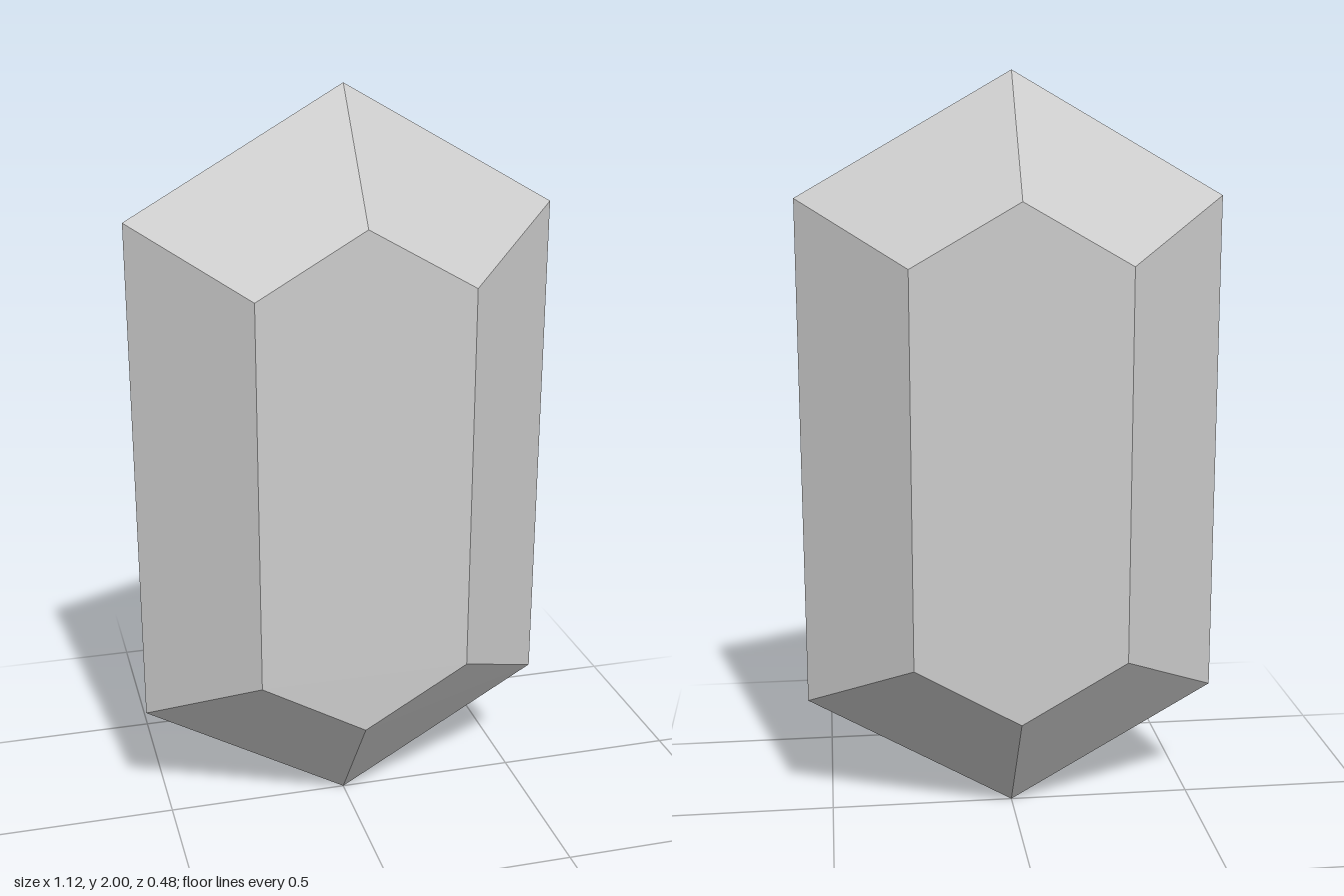
import * as THREE from 'three';
import { ConvexGeometry } from 'three/addons/geometries/ConvexGeometry.js';

// Six corners of an upright hexagon centred on y = 1, at depth z
function hexagon(halfWidth, halfHeight, sideHalfHeight, z) {
  const corners = [];
  for (const s of [1, -1]) {
    corners.push(new THREE.Vector3(0, 1 + s * halfHeight, z));
    for (const m of [1, -1]) corners.push(new THREE.Vector3(m * halfWidth, 1 + s * sideHalfHeight, z));
  }
  return corners;
}

export function createModel() {
  const group = new THREE.Group();
  group.name = 'gem';

  // Wide girdle in the middle, smaller flat table on front and back
  const points = [
    ...hexagon(0.56, 1, 0.68, 0),
    ...hexagon(0.282, 0.682, 0.52, 0.24),
    ...hexagon(0.282, 0.682, 0.52, -0.24),
  ];
  const crystal = new THREE.Mesh(
    new ConvexGeometry(points),
    new THREE.MeshStandardMaterial({ color: 0xcccccc, flatShading: true })
  );
  crystal.name = 'crystal';
  group.add(crystal);
  return group;
}
